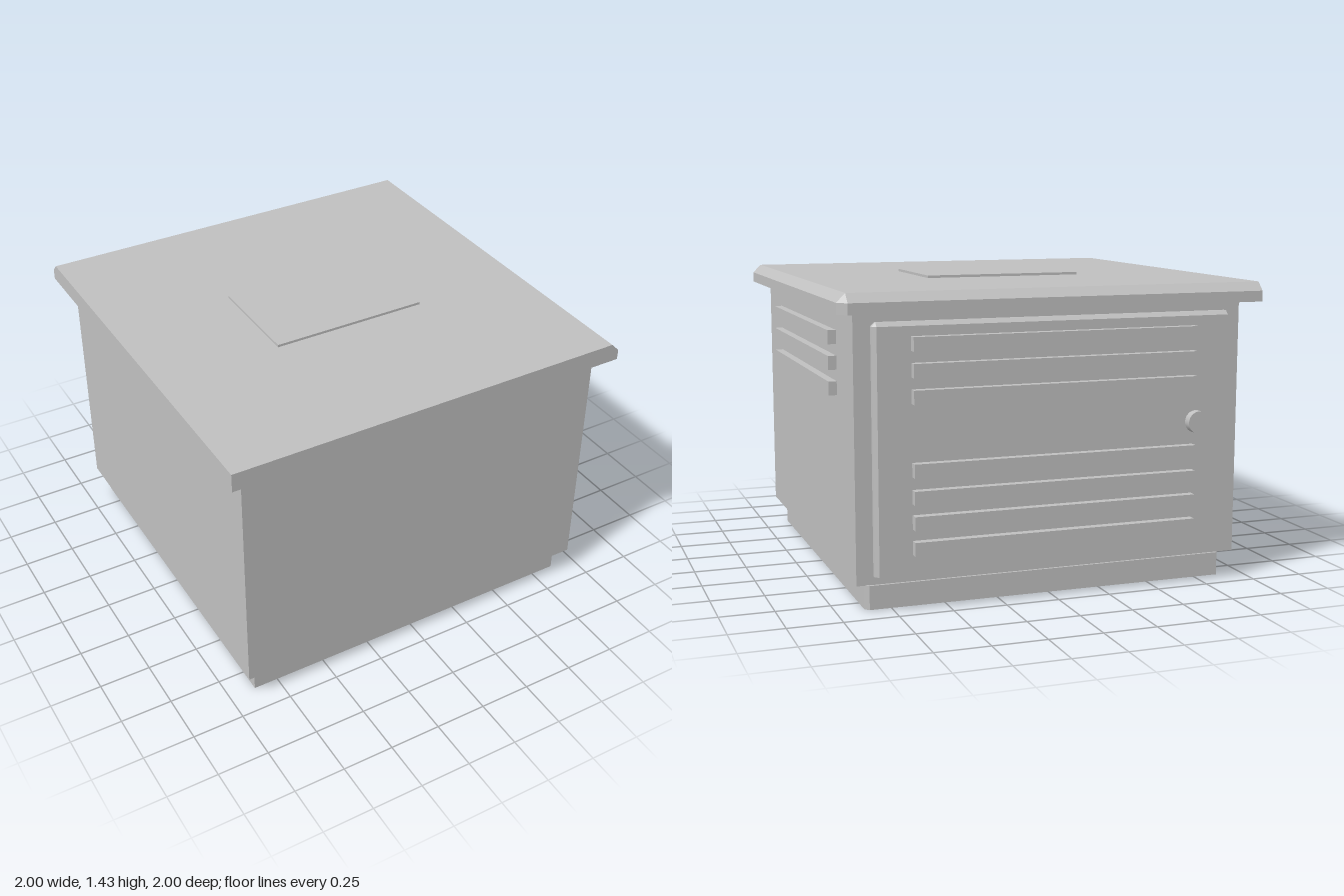
import * as THREE from 'three';

const metal = new THREE.MeshStandardMaterial({ color: 0xc0c0c0, side: THREE.DoubleSide });
metal.name = 'grey sheet metal';

// Flat faces, each a convex loop of corner points
function sheets(loops) {
  const pos = [];
  for (const l of loops)
    for (let i = 1; i < l.length - 1; i++) pos.push(...l[0], ...l[i], ...l[i + 1]);
  const g = new THREE.BufferGeometry();
  g.setAttribute('position', new THREE.Float32BufferAttribute(pos, 3));
  g.computeVertexNormals();
  return g;
}

// Sheet metal box, bevelled by c along the three edges of its right, top, back corner;
// the sides named in open are left out
function shell([x0, x1], [y0, y1], [z0, z1], c, open = []) {
  const xi = x1 - c, yi = y1 - c, zi = z0 + c;
  const sides = {
    top: [[x0, y1, z1], [xi, y1, z1], [xi, y1, zi], [x0, y1, zi]],
    bottom: [[x0, y0, z1], [x0, y0, z0], [xi, y0, z0], [x1, y0, zi], [x1, y0, z1]],
    right: [[x1, y0, z1], [x1, y0, zi], [x1, yi, zi], [x1, yi, z1]],
    left: [[x0, y0, z0], [x0, y0, z1], [x0, y1, z1], [x0, y1, zi], [x0, yi, z0]],
    front: [[x0, y0, z1], [x1, y0, z1], [x1, yi, z1], [xi, y1, z1], [x0, y1, z1]],
    back: [[xi, y0, z0], [x0, y0, z0], [x0, yi, z0], [xi, yi, z0]],
  };
  const loops = Object.keys(sides).filter((k) => !open.includes(k)).map((k) => sides[k]);
  if (c > 0) {
    loops.push(
      [[xi, y1, z1], [x1, yi, z1], [x1, yi, zi], [xi, y1, zi]],
      [[x0, y1, zi], [xi, y1, zi], [xi, yi, z0], [x0, yi, z0]],
      [[x1, y0, zi], [xi, y0, z0], [xi, yi, z0], [x1, yi, zi]],
      [[xi, y1, zi], [x1, yi, zi], [xi, yi, z0]],
    );
  }
  return sheets(loops);
}

export function createModel() {
  const model = new THREE.Group();
  model.name = 'equipmentCabinet';
  const add = (name, geometry) => {
    const m = new THREE.Mesh(geometry, metal);
    m.name = name;
    model.add(m);
    return m;
  };

  // Plinth, body and overhanging lid, hollow from below
  add('plinth', shell([-0.87, 0.87], [0, 0.13], [-0.87, 0.87], 0.02, ['top', 'bottom']));
  add('body', shell([-0.922, 0.922], [0.13, 1.325], [-0.922, 0.922], 0, ['bottom']));
  add('lid', shell([-1, 1], [1.325, 1.415], [-1, 1], 0.04, ['bottom']));
  add('lidPlate', shell([-0.385, 0.385], [1.415, 1.427], [-0.255, 0.255], 0, ['bottom']));

  // Door on the back
  add('door', shell([-0.845, 0.845], [0.17, 1.285], [-0.96, -0.922], 0.018, ['front']));

  // Louvre hoods, open towards the wall and below
  const low = [0.26, 0.375, 0.488, 0.608], high = [0.93, 1.045, 1.16], h = 0.063;
  for (const y of [...low, ...high])
    add('doorLouvre', shell([-0.675, 0.675], [y, y + h], [-1, -0.96], 0, ['front', 'bottom']));
  for (const y of high)
    add('sideLouvre', shell([0.922, 0.96], [y, y + h], [-0.615, 0.615], 0, ['left', 'bottom']));

  // Round door knob
  const knob = add('doorKnob', new THREE.CylinderGeometry(0.052, 0.052, 0.04, 32));
  knob.rotation.x = Math.PI / 2;
  knob.position.set(-0.69, 0.776, -0.98);

  return model;
}
